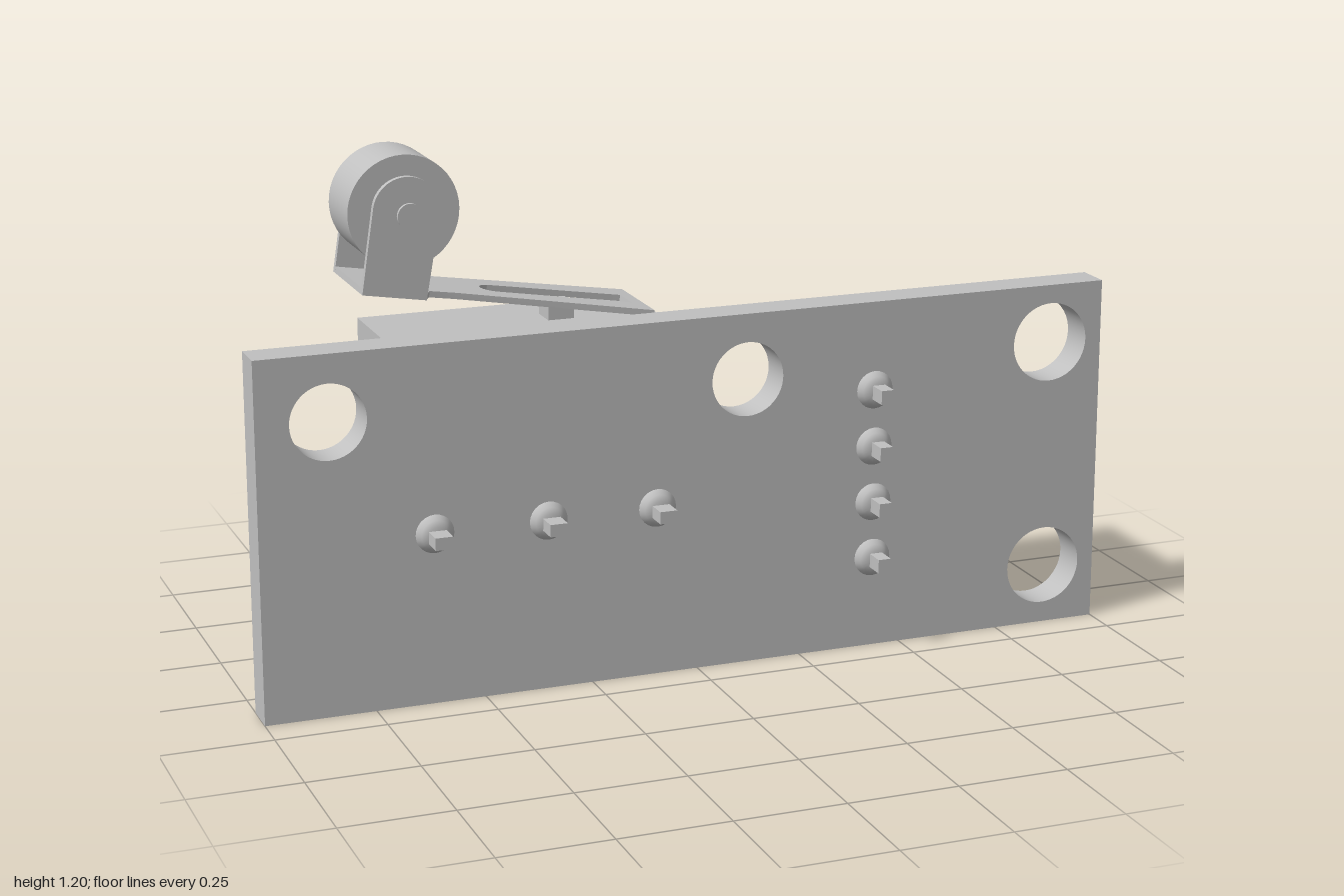
import * as THREE from 'three';
import { toCreasedNormals } from 'three/addons/utils/BufferGeometryUtils.js';

export function createModel() {
  const model = new THREE.Group();
  const grey = new THREE.MeshStandardMaterial({ color: 0xc0c0c0 });
  grey.name = 'plain grey';

  const add = (name, geo, parent = model) => {
    const mesh = new THREE.Mesh(geo, grey);
    mesh.name = name;
    parent.add(mesh);
    return mesh;
  };
  // Box given by its limits on each axis
  const box = (name, x0, x1, y0, y1, z0, z1, parent) => {
    const g = new THREE.BoxGeometry(x1 - x0, y1 - y0, z1 - z0);
    g.translate((x0 + x1) / 2, (y0 + y1) / 2, (z0 + z1) / 2);
    return add(name, g, parent);
  };
  const polygon = (pts) => new THREE.Shape(pts.map((p) => new THREE.Vector2(...p)));
  const hole = (shape, x, y, r) => shape.holes.push(new THREE.Path().absarc(x, y, r, 0, Math.PI * 2, true));
  const extrude = (shape, z0, z1) => {
    const g = new THREE.ExtrudeGeometry(shape, { depth: z1 - z0, bevelEnabled: false, curveSegments: 24 });
    g.translate(0, 0, z0);
    return toCreasedNormals(g, 0.6);
  };
  const group = (name) => {
    const g = new THREE.Group();
    g.name = name;
    model.add(g);
    return g;
  };

  // Circuit board with mounting holes
  const board = polygon([[-1, 0], [1, 0], [1, 0.815], [-1, 0.815]]);
  hole(board, -0.84, 0.665, 0.085);
  hole(board, 0.12, 0.665, 0.085);
  hole(board, 0.87, 0.68, 0.092);
  hole(board, 0.87, 0.14, 0.092);
  add('board', extrude(board, 0.08, 0.165));

  // Solder joint: a small fillet on both faces of the board
  const profile = [[0, 0.064], [0.022, 0.064], [0.034, 0.055], [0.045, 0.041],
    [0.045, -0.041], [0.034, -0.055], [0.022, -0.064], [0, -0.064]]
    .reverse().map((p) => new THREE.Vector2(...p));
  const solderGeo = new THREE.LatheGeometry(profile, 24);
  solderGeo.rotateX(Math.PI / 2);
  solderGeo.translate(0, 0, 0.1225);
  const solder = (x, y) => add('solderJoint', solderGeo).position.set(x, y, 0);

  // Connector housing, open towards +x
  const housing = group('connectorHousing');
  box('housingTop', 0.48, 0.785, 0.695, 0.725, -0.235, 0.07, housing);
  box('housingBottom', 0.48, 0.785, 0.09, 0.125, -0.235, 0.07, housing);
  box('housingInnerWall', 0.48, 0.785, 0.125, 0.695, 0.04, 0.07, housing);
  box('housingRear', 0.48, 0.55, 0.125, 0.695, -0.2, 0.04, housing);
  const outerWall = polygon([
    [0.48, 0.125], [0.785, 0.125], [0.785, 0.198], [0.6, 0.198], [0.6, 0.273], [0.785, 0.273],
    [0.785, 0.548], [0.6, 0.548], [0.6, 0.625], [0.785, 0.625], [0.785, 0.695], [0.48, 0.695],
  ]);
  add('housingOuterWall', extrude(outerWall, -0.235, -0.2), housing);

  // Ribs between the pin slots, and the bent pins
  const pinRows = [0.212, 0.345, 0.477, 0.61];
  const edges = [0.09, ...pinRows.flatMap((y) => [y - 0.027, y + 0.027]), 0.725];
  for (let i = 0; i < edges.length; i += 2) {
    box('housingRib', 0.44, 0.48, edges[i], edges[i + 1], -0.235, 0.07, housing);
  }
  for (const y of pinRows) {
    const bent = polygon([
      [0.7, 0.13], [0.435, 0.13], [0.422, 0.126], [0.415, 0.113], [0.415, -0.235],
      [0.445, -0.235], [0.445, 0.1], [0.7, 0.1],
    ]);
    const g = extrude(bent, -0.016, 0.016);
    g.rotateX(-Math.PI / 2);
    add('connectorPin', g).position.y = y;
    solder(0.43, y);
  }

  // Switch body with recesses around its terminals and two through holes
  const body = polygon([
    [-0.67, 0.79], [-0.67, 0.505], [-0.555, 0.505], [-0.555, 0.47], [-0.43, 0.47], [-0.43, 0.505],
    [-0.275, 0.505], [-0.275, 0.47], [-0.145, 0.47], [-0.145, 0.505], [-0.03, 0.505], [-0.03, 0.79],
  ]);
  hole(body, -0.2, 0.545, 0.047);
  hole(body, -0.52, 0.545, 0.047);
  add('switchBody', extrude(body, -0.205, 0.079));
  box('switchFaceMark', -0.385, -0.325, 0.565, 0.6, -0.21, -0.204);
  box('plunger', -0.28, -0.22, 0.78, 0.826, -0.095, -0.03);

  // Switch terminals, bent from the body to the board
  for (const x of [-0.61, -0.35, -0.095]) {
    box('terminalLeg', x - 0.022, x + 0.022, 0.375, 0.52, -0.08, -0.052);
    box('terminalTail', x - 0.02, x + 0.02, 0.375, 0.403, -0.052, 0.235);
    solder(x, 0.39);
  }

  // Lever arm with a rounded slot, tilted upwards to the roller
  const lever = group('lever');
  lever.position.set(-0.055, 0.81, -0.0625);
  lever.rotation.z = -0.163;
  const arm = polygon([
    [0, -0.105], [0, 0.105], [-0.46, 0.082], [-0.52, 0.085], [-0.535, 0.115],
    [-0.68, 0.115], [-0.68, -0.115], [-0.535, -0.115], [-0.52, -0.085], [-0.46, -0.082],
  ]);
  const slot = new THREE.Path();
  slot.moveTo(-0.03, -0.037);
  slot.lineTo(-0.345, -0.033);
  slot.absarc(-0.345, 0, 0.033, -Math.PI / 2, -Math.PI * 1.5, true);
  slot.lineTo(-0.03, 0.037);
  arm.holes.push(slot);
  const armGeo = extrude(arm, 0, 0.014);
  armGeo.rotateX(Math.PI / 2);
  add('leverArm', armGeo, lever);

  // Fork cheeks either side of the roller
  const cheek = new THREE.Shape();
  cheek.moveTo(-0.68, -0.014);
  cheek.lineTo(-0.535, -0.014);
  cheek.lineTo(-0.532, 0.176);
  cheek.absarc(-0.607, 0.176, 0.075, 0, Math.PI, false);
  cheek.closePath();
  for (const side of [-1, 1]) {
    add('forkCheek', extrude(cheek, -0.007, 0.007), lever).position.z = side * 0.112;
  }

  // Roller and axle
  const disc = (name, r, depth) => {
    const g = new THREE.CylinderGeometry(r, r, depth, 48);
    g.rotateX(Math.PI / 2);
    add(name, g).position.set(-0.62, 1.072, -0.0625);
  };
  disc('roller', 0.125, 0.152);
  disc('axle', 0.028, 0.254);

  // Small surface parts on the back: a body with a cap at each end
  const chip = (x, y, w, h, z) => {
    const wide = w > h;
    const cx = wide ? w / 2 - 0.02 : w / 2;
    const cy = wide ? h / 2 : h / 2 - 0.02;
    box('chipBody', x - cx, x + cx, y - cy, y + cy, z, 0.081);
    for (const s of [-1, 1]) {
      const px = wide ? x + s * (w / 2 - 0.01) : x;
      const py = wide ? y : y + s * (h / 2 - 0.01);
      const hx = wide ? 0.01 : w / 2;
      const hy = wide ? h / 2 : 0.01;
      box('chipCap', px - hx, px + hx, py - hy, py + hy, z + 0.006, 0.081);
    }
  };
  chip(-0.84, 0.36, 0.115, 0.062, 0.04);
  chip(-0.84, 0.265, 0.115, 0.062, 0.04);
  chip(0.065, 0.385, 0.06, 0.115, 0.05);
  chip(0.173, 0.385, 0.062, 0.115, 0.04);

  return model;
}
